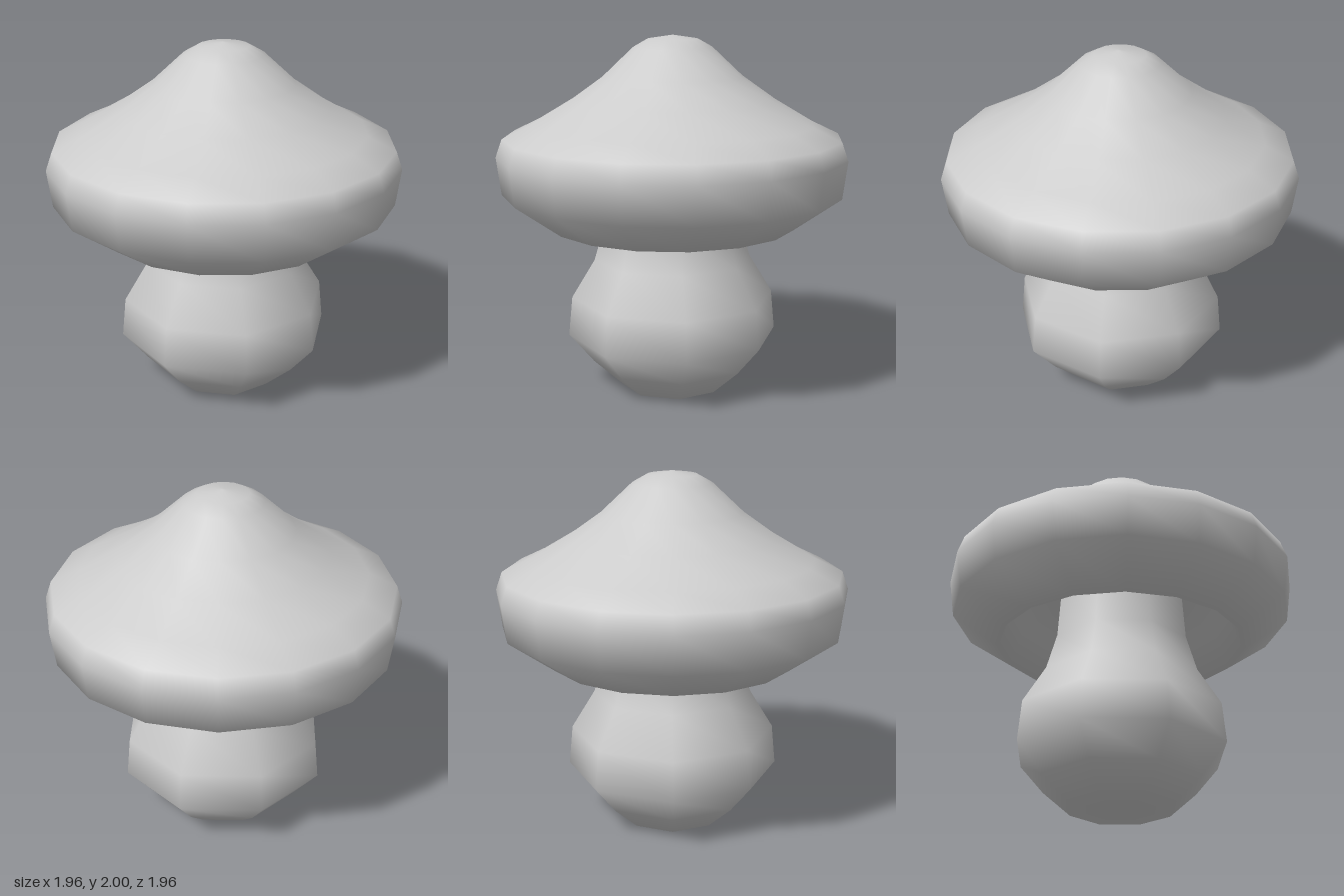
import * as THREE from 'three';

const material = new THREE.MeshStandardMaterial({ color: 0xcccccc, side: THREE.DoubleSide });

// Smooth turned part from [radius, height] pairs, listed from the bottom up
function turned(name, profile, sides) {
  const points = profile.map(([r, y]) => new THREE.Vector2(r, y));
  const mesh = new THREE.Mesh(new THREE.LatheGeometry(points, sides), material);
  mesh.name = name;
  return mesh;
}

export function createModel() {
  const group = new THREE.Group();
  group.name = 'mushroom';

  // Bulbous eight-sided stem with a flat side to the front, running up into the cap
  const stem = turned('stem', [
    [0, 0], [0.292, 0], [0.455, 0.145], [0.595, 0.31], [0.574, 0.53],
    [0.444, 0.745], [0.384, 0.95], [0.36, 1.28],
  ], 8);
  stem.rotation.y = Math.PI / 8;
  group.add(stem);

  // Sixteen-sided cap: deep hollow underside, rolled rim, then flared slope to the tip
  group.add(turned('cap', [
    [0.28, 1.27], [0.6, 1.17], [0.69, 0.945], [0.952, 1.13], [0.98, 1.34],
    [0.945, 1.44], [0.79, 1.515], [0.58, 1.64], [0.39, 1.775],
    [0.22, 1.935], [0.14, 1.98], [0.01, 2], [0, 2],
  ], 16));

  return group;
}
